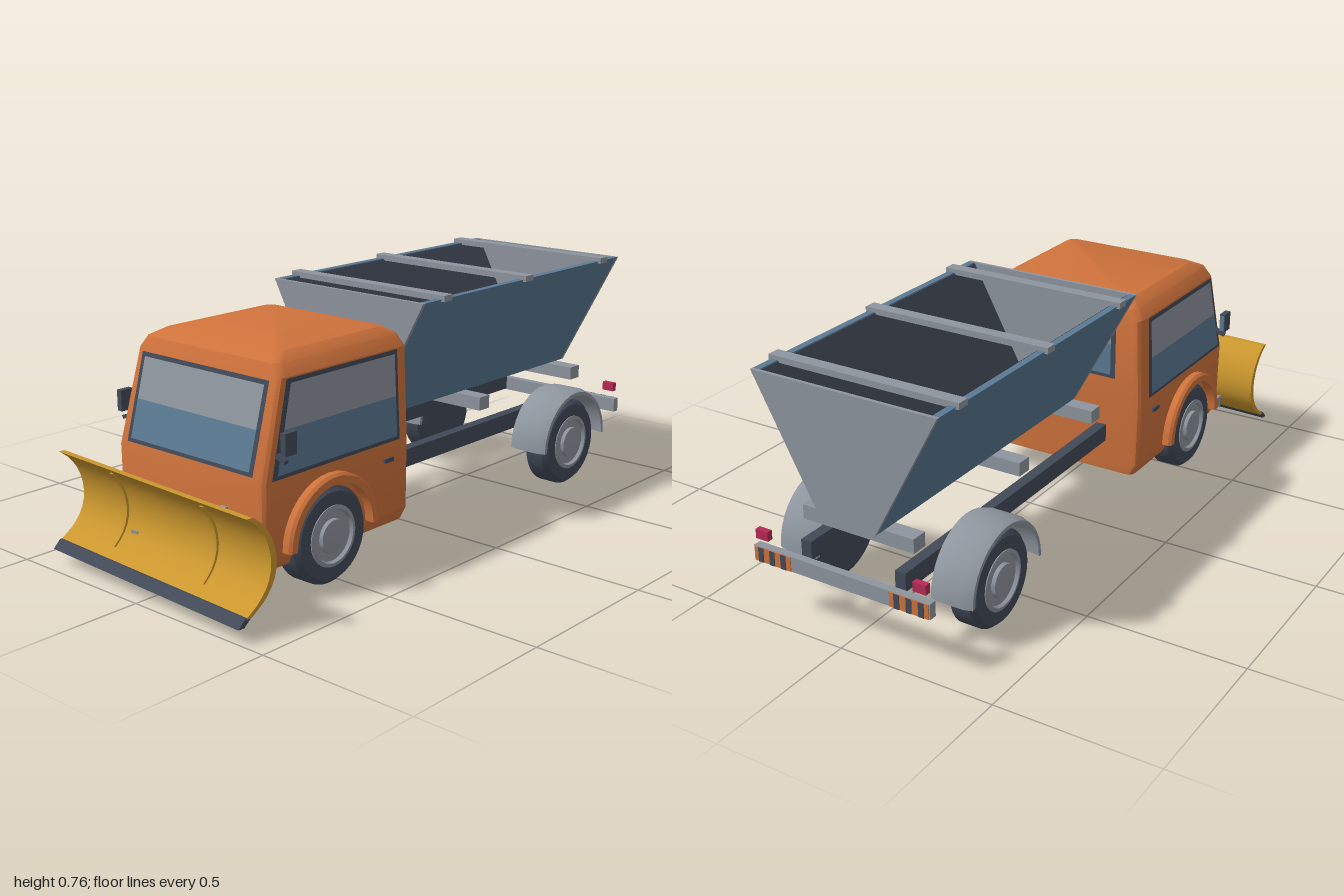
import * as THREE from 'three';
import { toCreasedNormals } from 'three/addons/utils/BufferGeometryUtils.js';

const material = (name, color) => {
  const m = new THREE.MeshStandardMaterial({ color, side: THREE.DoubleSide });
  m.name = name;
  return m;
};

export function createModel() {
  const orange = material('orange paint', 0xd0733c);
  const grey = material('grey metal', 0x8e959e);
  const blue = material('steel blue', 0x5b7a94);
  const dark = material('dark rubber', 0x424a58);
  const yellow = material('plow yellow', 0xcb972e);
  const red = material('lamp red', 0xb52a55);

  const truck = new THREE.Group();
  truck.name = 'snowPlowTruck';

  const add = (name, geo, mat, parent = truck) => {
    const mesh = new THREE.Mesh(toCreasedNormals(geo, 0.5), mat);
    mesh.name = name;
    parent.add(mesh);
    return mesh;
  };
  const box = (name, mat, x0, x1, y0, y1, z0, z1, parent) => {
    const m = add(name, new THREE.BoxGeometry(x1 - x0, y1 - y0, Math.abs(z1 - z0)), mat, parent);
    m.position.set((x0 + x1) / 2, (y0 + y1) / 2, (z0 + z1) / 2);
    return m;
  };
  const shapeOf = pts => new THREE.Shape(pts.map(p => new THREE.Vector2(...p)));
  const extrude = (pts, depth) => new THREE.ExtrudeGeometry(shapeOf(pts), { depth, bevelEnabled: false })
    .translate(0, 0, -depth / 2);
  // Flat four-cornered face
  const quad = (name, mat, a, b, c, d) => {
    const g = new THREE.BufferGeometry();
    g.setAttribute('position', new THREE.Float32BufferAttribute([a, b, c, a, c, d].flat(), 3));
    g.computeVertexNormals();
    return add(name, g, mat);
  };
  const lathe = (pts, segs, start = 0, sweep = Math.PI * 2) => new THREE.LatheGeometry(
    pts.map(p => new THREE.Vector2(...p)), segs, start, sweep).rotateX(Math.PI / 2);

  // Cab: stacked rounded rectangles [y, front x, back x, half width]
  const layers = [
    [0.10, -0.793, -0.18, 0.28], [0.14, -0.793, -0.18, 0.302], [0.36, -0.793, -0.18, 0.305],
    [0.64, -0.715, -0.18, 0.293], [0.675, -0.703, -0.19, 0.27], [0.697, -0.66, -0.22, 0.235],
  ];
  const rings = layers.map(([y, xf, xb, hz]) => {
    const r = 0.024, ring = [];
    const corners = [[xb - r, -hz + r], [xf + r, -hz + r], [xf + r, hz - r], [xb - r, hz - r]];
    corners.forEach(([cx, cz], k) => {
      for (let i = 0; i < 4; i++) {
        const a = (k + i / 3) * Math.PI / 2;
        ring.push([cx + r * Math.cos(a), y, cz - r * Math.sin(a)]);
      }
    });
    return ring;
  });
  const tris = [];
  const n = rings[0].length;
  for (let l = 0; l < rings.length - 1; l++) {
    for (let i = 0; i < n; i++) {
      const j = (i + 1) % n, lo = rings[l], hi = rings[l + 1];
      tris.push(lo[i], lo[j], hi[j], lo[i], hi[j], hi[i]);
    }
  }
  const top = rings[rings.length - 1], bottom = rings[0];
  for (let i = 1; i < n - 1; i++) {
    tris.push(top[0], top[i], top[i + 1], bottom[0], bottom[i + 1], bottom[i]);
  }
  const cabGeo = new THREE.BufferGeometry();
  cabGeo.setAttribute('position', new THREE.Float32BufferAttribute(tris.flat(), 3));
  cabGeo.computeVertexNormals();
  add('cab', cabGeo, orange);

  // Windows: dark frame with two-tone glass, laid on the cab surface
  const pane = (name, mat, at, lift, y0, y1, left, right) => quad(name, mat,
    at(left(y0), y0, lift), at(right(y0), y0, lift), at(right(y1), y1, lift), at(left(y1), y1, lift));
  const glazed = (name, at, y0, y1, split, left, right) => {
    const inL = y => left(y) + 0.016, inR = y => right(y) - 0.014;
    pane(name + 'Frame', dark, at, 0.003, y0, y1, left, right);
    pane(name + 'LowerGlass', blue, at, 0.006, y0 + 0.012, split, inL, inR);
    pane(name + 'UpperGlass', grey, at, 0.006, split, y1 - 0.012, inL, inR);
  };
  const slope = y => (y - 0.36) / 0.28;
  for (const s of [1, -1]) {
    glazed('sideWindow', (u, y, d) => [u, y, s * (0.305 - 0.012 * slope(y) + d)], 0.366, 0.637, 0.5,
      y => -0.766 + 0.076 * slope(y), () => -0.232);
  }
  glazed('windshield', (u, y, d) => [-0.793 + 0.078 * slope(y) - d, y, u], 0.375, 0.632, 0.5,
    () => -0.26, () => 0.26);
  glazed('rearWindow', (u, y, d) => [-0.18 + d, y, u], 0.432, 0.632, 0.55, () => -0.21, () => 0.21);

  // Wheels, arches, mirrors and handles on both sides
  const tyre = [[0, 0.225], [0.125, 0.225], [0.147, 0.24], [0.147, 0.302], [0.132, 0.319], [0.09, 0.319]];
  const hub = [[0.092, 0.312], [0.092, 0.322], [0.08, 0.325], [0.076, 0.314], [0.052, 0.314],
    [0.05, 0.326], [0.035, 0.328], [0, 0.328]];
  const flare = [[0.158, 0.29], [0.187, 0.29], [0.187, 0.325], [0.18, 0.334], [0.158, 0.334], [0.158, 0.29]];
  const fender = [[0.168, 0.2], [0.18, 0.2], [0.187, 0.225], [0.187, 0.31], [0.178, 0.337],
    [0.166, 0.337], [0.174, 0.31], [0.174, 0.225], [0.168, 0.2]];
  for (const s of [1, -1]) {
    for (const [x, label] of [[-0.537, 'front'], [0.665, 'rear']]) {
      const g = new THREE.Group();
      g.name = label + 'Wheel';
      g.position.set(x, 0.15, 0);
      g.rotation.y = s > 0 ? 0 : Math.PI;
      add('tyre', lathe(tyre, 32), dark, g);
      add('hub', lathe(hub, 32), grey, g);
      const front = label === 'front';
      add(front ? 'wheelArch' : 'fender',
        lathe(front ? flare : fender, 18, Math.PI / 2, Math.PI), front ? orange : grey, g);
      truck.add(g);
    }
    box('mirrorHousing', dark, -0.752, -0.708, 0.442, 0.506, s * 0.329, s * 0.348);
    box('mirrorGlass', blue, -0.708, -0.704, 0.447, 0.501, s * 0.331, s * 0.346);
    const arm = box('mirrorArm', dark, -0.745, -0.73, 0.424, 0.436, s * 0.292, s * 0.338);
    arm.rotation.x = s * 0.35;
    box('doorHandle', dark, -0.3, -0.262, 0.306, 0.318, s * 0.3, s * 0.312);
    box('chassisRail', dark, -0.2, 0.93, 0.205, 0.262, s * 0.145, s * 0.18);
  }

  // Hopper: sloped trough, dark lining, end plates, bars and supports
  const trough = [[-0.307, 0.755], [-0.093, 0.357], [0.093, 0.357], [0.307, 0.755],
    [0.285, 0.755], [0.08, 0.372], [-0.08, 0.372], [-0.285, 0.755]];
  add('hopperSides', extrude(trough, 1.045).rotateY(Math.PI / 2), blue).position.x = 0.408;
  const [h0, h1] = [-0.113, 0.929];
  for (const s of [1, -1]) {
    quad('hopperLining', dark, [h0, 0.753, s * 0.281], [h1, 0.753, s * 0.281],
      [h1, 0.375, s * 0.078], [h0, 0.375, s * 0.078]);
  }
  quad('hopperFloor', dark, [h0, 0.375, -0.08], [h0, 0.375, 0.08], [h1, 0.375, 0.08], [h1, 0.375, -0.08]);
  for (const x of [-0.12, 0.936]) {
    add('hopperEnd', extrude(trough.slice(0, 4), 0.012).rotateY(Math.PI / 2), grey).position.x = x;
  }
  for (const x of [-0.018, 0.4, 0.836]) box('hopperBar', grey, x - 0.02, x + 0.02, 0.748, 0.767, -0.316, 0.316);
  for (const x of [-0.09, 0.342, 0.875]) box('hopperSupport', grey, x - 0.026, x + 0.026, 0.312, 0.356, -0.19, 0.19);

  // Rear bumper with warning stripes and lamps
  box('rearBumper', grey, 0.965, 0.99, 0.19, 0.237, -0.302, 0.302);
  for (const s of [1, -1]) {
    box('stripeBase', orange, 0.99, 0.993, 0.191, 0.236, s * 0.17, s * 0.298);
    for (const z of [0.195, 0.235, 0.275]) {
      box('darkStripe', dark, 0.993, 0.995, 0.191, 0.236, s * (z - 0.009), s * (z + 0.009));
    }
    box('tailLamp', red, 0.972, 0.991, 0.262, 0.291, s * 0.248, s * 0.291);
  }

  // Plow: curved blade, ribs and cutting edge, turned slightly to one side
  const plow = new THREE.Group();
  plow.name = 'plow';
  plow.position.x = -0.9;
  plow.rotation.y = -0.05;
  truck.add(plow);
  const curve = new THREE.SplineCurve([[-0.043, 0.34], [-0.005, 0.31], [0.026, 0.26], [0.038, 0.2],
    [0.026, 0.145], [-0.008, 0.1], [-0.055, 0.066]].map(p => new THREE.Vector2(...p))).getPoints(14);
  const blade = (from, to) => [...curve.map(p => [p.x + from, p.y]), ...curve.map(p => [p.x + to, p.y]).reverse()];
  add('plowBlade', extrude(blade(0, 0.02), 0.834), yellow, plow);
  for (const z of [-0.2, 0.2]) {
    const rib = blade(-0.008, 0.01).filter(p => p[1] > 0.09 && p[1] < 0.32);
    add('plowRib', extrude(rib, 0.012), yellow, plow).position.z = z;
  }
  add('cuttingEdge', extrude([[-0.056, 0.07], [-0.08, 0.045], [-0.06, 0.045], [-0.032, 0.07]], 0.834), dark, plow);

  // Plow mount
  box('mountBar', grey, -0.822, -0.79, 0.112, 0.15, -0.3, 0.3);
  for (const z of [-0.15, 0.15]) {
    box('upperArm', grey, -0.86, -0.78, 0.25, 0.27, z - 0.012, z + 0.012);
    box('lowerArm', grey, -0.872, -0.8, 0.12, 0.145, z - 0.015, z + 0.015);
  }
  return truck;
}
